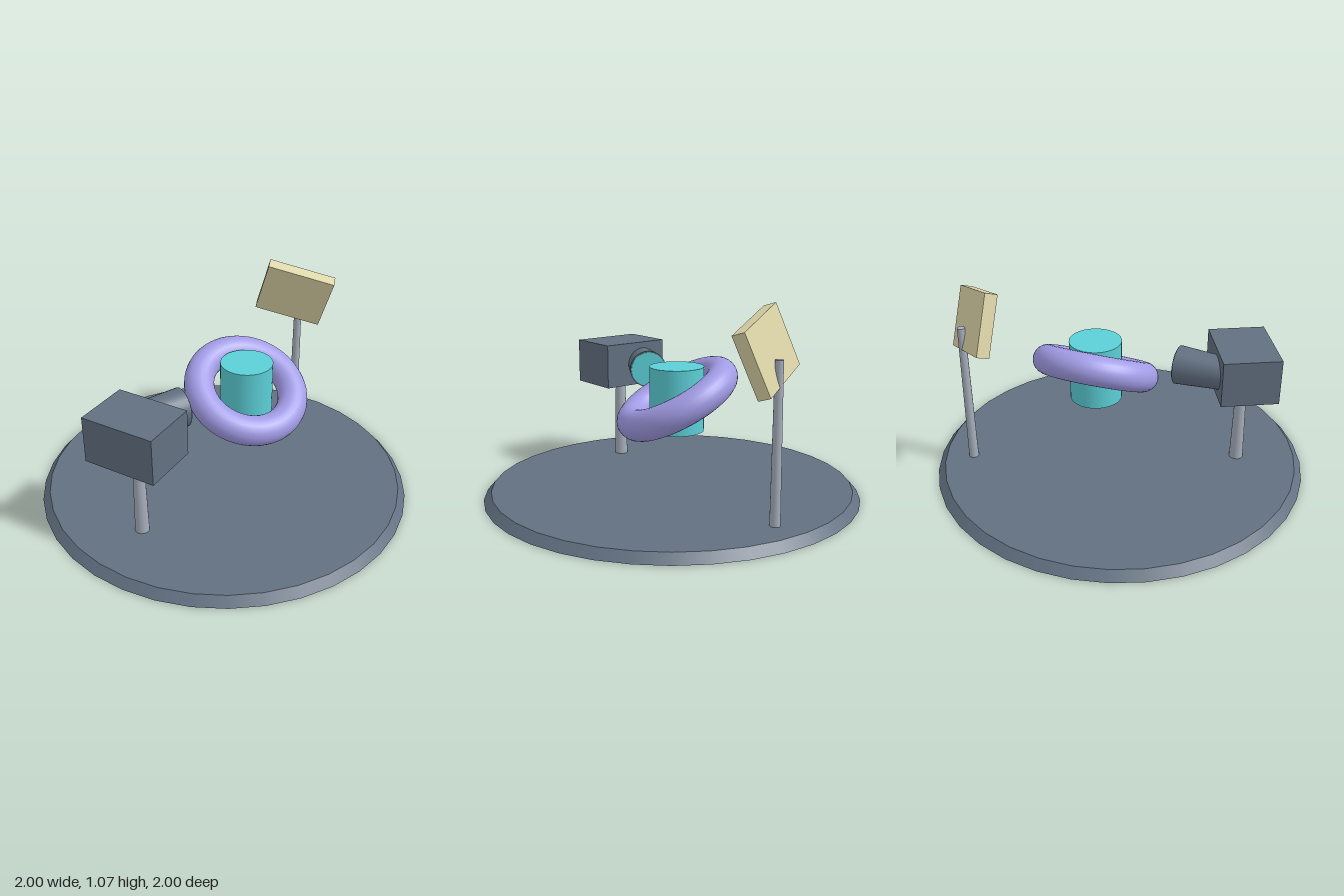
import * as THREE from 'three';

const material = (name, color) => {
  const m = new THREE.MeshStandardMaterial({ color });
  m.name = name;
  return m;
};

export function createModel() {
  const slate = material('slate', 0x627081);
  const steel = material('steel', 0xa8b0bc);
  const violet = material('violet', 0xa29ce6);
  const cyan = material('cyan', 0x5cd0d8);
  const cream = material('cream', 0xddd5a8);

  const model = new THREE.Group();
  model.name = 'studioTurntable';

  const add = (name, geometry, mat, position, rotation = [0, 0, 0], parent = model) => {
    const mesh = new THREE.Mesh(geometry, mat);
    mesh.name = name;
    mesh.position.set(...position);
    mesh.rotation.set(...rotation);
    parent.add(mesh);
    return mesh;
  };

  // Tapered post standing on the base
  const baseTop = 0.045;
  const post = (name, x, z, top, rTop, rBottom) => {
    const h = top - baseTop;
    add(name, new THREE.CylinderGeometry(rTop, rBottom, h, 20), steel, [x, baseTop + h / 2, z]);
  };

  // Round base with a bevelled rim
  add('base', new THREE.CylinderGeometry(0.96, 1, baseTop, 36), slate, [0, baseTop / 2, 0]);

  // Camera: body on a post, flared lens barrel pointing along +x, glass disc
  post('cameraPost', -0.61, 0.205, 0.5, 0.028, 0.037);
  add('cameraBody', new THREE.BoxGeometry(0.3, 0.245, 0.392), slate, [-0.61, 0.6125, 0.2], [0, 0.5, 0]);
  const lens = new THREE.Group();
  lens.name = 'lens';
  lens.position.set(-0.425, 0.612, 0.083);
  lens.rotation.z = -Math.PI / 2;
  model.add(lens);
  add('lensBarrel', new THREE.CylinderGeometry(0.102, 0.085, 0.26, 28), slate, [0, 0, 0], [0, 0, 0], lens);
  add('lensGlass', new THREE.CylinderGeometry(0.095, 0.095, 0.008, 28), cyan, [0, 0.131, 0], [0, 0, 0], lens);

  // Floating subject: upright cylinder inside a tilted ring
  add('coreCylinder', new THREE.CylinderGeometry(0.14, 0.14, 0.335, 36), cyan, [0.14, 0.5375, 0]);
  add('ring', new THREE.TorusGeometry(0.26, 0.08, 24, 64), violet, [0.14, 0.54, 0], [-1.08, 0, 0]);

  // Light panel on a slim post, tipped towards the subject
  post('panelPost', 0.725, -0.358, 0.828, 0.02, 0.026);
  add('lightPanel', new THREE.BoxGeometry(0.38, 0.32, 0.066), cream, [0.666, 0.861, -0.318], [0.4, -0.7, 0]);

  return model;
}
